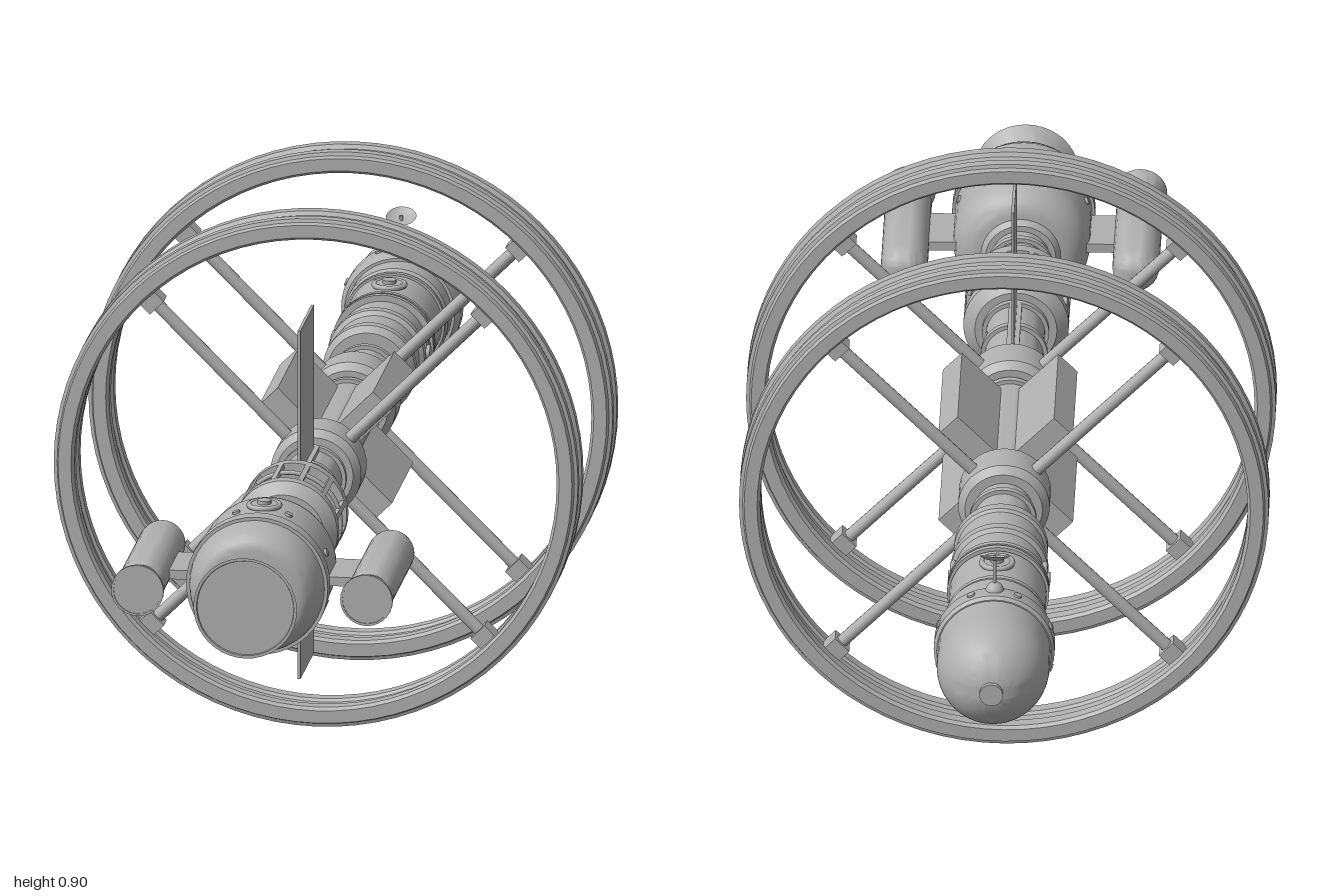
import * as THREE from 'three';
import { toCreasedNormals } from 'three/addons/utils/BufferGeometryUtils.js';

const AXIS_Y = 0.454;

export function createModel() {
  const root = new THREE.Group();
  root.name = 'spaceship';
  const ship = new THREE.Group();
  ship.name = 'hullAxis';
  ship.position.y = AXIS_Y;
  root.add(ship);

  const hull = new THREE.MeshStandardMaterial({ color: 0xb0b0b0, side: THREE.DoubleSide });
  hull.name = 'hull grey';

  function add(name, geometry, x = 0, y = 0, z = 0, parent = ship) {
    const mesh = new THREE.Mesh(geometry, hull);
    mesh.name = name;
    mesh.position.set(x, y, z);
    parent.add(mesh);
    return mesh;
  }
  // Turned part along z; profile is [radius, z] pairs with z rising
  function turned(name, profile, x = 0, y = 0, z = 0, segments = 40) {
    const pts = profile.map(([r, h]) => new THREE.Vector2(r, h));
    const geo = new THREE.LatheGeometry(pts, segments).rotateX(Math.PI / 2);
    return add(name, toCreasedNormals(geo, 0.5), x, y, z);
  }
  const collar = (name, r, z, w) =>
    turned(name, [[0, -w / 2], [r, -w / 2], [r, w / 2], [0, w / 2]], 0, 0, z);
  // Round part of an ellipse profile, from angle a to b
  const arc = (r0, z0, rr, rz, a, b, n = 8) => Array.from({ length: n + 1 }, (_, i) => {
    const t = a + (b - a) * i / n;
    return [r0 + rr * Math.cos(t), z0 + rz * Math.sin(t)];
  });
  const H = Math.PI / 2;

  // Central spine and its collars
  turned('spine', [[0, -0.44], [0.05, -0.44], [0.05, 0.72], [0, 0.72]]);
  for (const z of [-0.39, -0.325, -0.19, 0.095, 0.215, 0.305, 0.39, 0.575, 0.605, 0.635])
    collar('spineCollar', 0.057, z, 0.012);

  // Two spoked rings
  const ringProfile = [
    [0.415, -0.036], [0.42, -0.042], [0.442, -0.042], [0.445, -0.034], [0.451, -0.032],
    [0.451, -0.015], [0.444, -0.011], [0.444, 0.011], [0.451, 0.015], [0.451, 0.032],
    [0.445, 0.034], [0.442, 0.042], [0.42, 0.042], [0.415, 0.036], [0.415, 0.015],
    [0.42, 0.011], [0.42, -0.011], [0.415, -0.015], [0.415, -0.036],
  ];
  for (const z of [-0.246, 0.154]) {
    turned('ring', ringProfile, 0, 0, z, 80);
    turned('ringHub', [[0.05, -0.045], [0.066, -0.045], [0.078, -0.032], [0.078, 0.032],
      [0.066, 0.045], [0.05, 0.045]], 0, 0, z);
    for (let i = 0; i < 4; i++) {
      const spoke = new THREE.Group();
      spoke.name = 'spoke';
      spoke.position.z = z;
      spoke.rotation.z = Math.PI / 4 + i * H;
      ship.add(spoke);
      add('spokeRod', new THREE.CylinderGeometry(0.011, 0.011, 0.37, 12), 0, 0.235, 0, spoke);
      add('spokeFoot', new THREE.BoxGeometry(0.034, 0.03, 0.034), 0, 0.405, 0, spoke);
    }
  }

  // Four cargo pods set diagonally round the spine
  for (let i = 0; i < 4; i++) {
    const pod = new THREE.Group();
    pod.name = 'cargoPod';
    pod.rotation.z = Math.PI / 4 + i * H;
    ship.add(pod);
    add('podBox', new THREE.BoxGeometry(0.046, 0.105, 0.245), 0, 0.0865, -0.047, pod);
  }

  // Upright radiator panels
  for (const s of [1, -1]) {
    add('radiator', new THREE.BoxGeometry(0.005, 0.26, 0.158), 0, s * 0.179, 0.301);
    add('radiatorRoot', new THREE.BoxGeometry(0.022, 0.02, 0.17), 0, s * 0.047, 0.301);
  }

  // Open cage with solid end caps
  turned('cageRearCap', [[0.05, 0.395], [0.07, 0.395], [0.09, 0.412], [0.09, 0.432], [0.05, 0.432]]);
  turned('cageFrontCap', [[0.05, 0.518], [0.09, 0.518], [0.09, 0.538], [0.07, 0.556], [0.05, 0.556]]);
  turned('cageCore', [[0.06, 0.43], [0.06, 0.52]]);
  add('cageHoop', new THREE.TorusGeometry(0.086, 0.004, 8, 40), 0, 0, 0.475);
  for (let i = 0; i < 12; i++) {
    const a = (i + 0.5) * Math.PI / 6;
    const bar = add('cageBar', new THREE.BoxGeometry(0.008, 0.009, 0.09),
      0.086 * Math.cos(a), 0.086 * Math.sin(a), 0.475);
    bar.rotation.z = a;
  }

  // Engine body with its band and flared nozzle
  turned('engineBody', [[0, 0.67], [0.06, 0.67], [0.068, 0.68],
    ...arc(0.068, 0.735, 0.049, 0.055, -H, 0), [0.117, 0.85],
    ...arc(0.08, 0.85, 0.037, 0.073, 0, H), [0, 0.923]]);
  turned('engineBand', [[0.1, 0.837], [0.122, 0.837], [0.122, 0.865], [0.1, 0.865]]);
  turned('mainNozzle', [[0.03, 0.915], [0.034, 0.93], [0.044, 0.95], [0.06, 0.972],
    [0.089, 1], [0.084, 1], [0.083, 0.997], [0, 0.997]]);

  // Side boosters on pylons
  for (const s of [1, -1]) {
    turned('booster', [...arc(0, 0.64, 0.04, 0.04, -H, 0), [0.04, 0.87],
      [0.034, 0.882], [0, 0.882]], s * 0.197, 0, 0, 28);
    turned('boosterNozzle', [[0.028, 0.875], [0.032, 0.892], [0.045, 0.918], [0.045, 0.924],
      [0.041, 0.924], [0.041, 0.922], [0, 0.922]], s * 0.197, 0, 0, 28);
    add('boosterPylon', new THREE.BoxGeometry(0.09, 0.016, 0.11), s * 0.135, 0, 0.765);
  }

  // Crew section, widening in steps towards the nose
  turned('crewHull', [[0, -0.78], [0.09, -0.78], [0.09, -0.735], [0.083, -0.725],
    [0.083, -0.615], [0.076, -0.605], [0.076, -0.53], [0.083, -0.525], [0.083, -0.508],
    [0.075, -0.503], [0.075, -0.45], [0.08, -0.446], [0.08, -0.428], [0.07, -0.415], [0, -0.415]]);
  for (const z of [-0.72, -0.605, -0.59]) collar('crewBand', 0.087, z, 0.01);
  turned('noseCollar', [[0, -0.832], [0.098, -0.832], [0.103, -0.826], [0.103, -0.795],
    [0.095, -0.778], [0, -0.778]]);
  turned('noseDome', [...arc(0, -0.89, 0.096, 0.104, -H, 0, 14), [0.096, -0.83]]);
  collar('noseKnob', 0.02, -0.99, 0.02);

  // Round hatches: angle about the axis, radius, z
  function hatch(angle, radius, z) {
    const g = new THREE.Group();
    g.name = 'hatch';
    g.position.set(radius * Math.sin(angle), radius * Math.cos(angle), z);
    g.rotation.z = -angle;
    ship.add(g);
    add('hatchPlate', new THREE.CylinderGeometry(0.026, 0.026, 0.018, 20), 0, -0.004, 0, g);
    add('hatchRim', new THREE.TorusGeometry(0.026, 0.005, 8, 24).rotateX(H), 0, 0.002, 0, g);
    add('hatchBoss', new THREE.CylinderGeometry(0.012, 0.012, 0.012, 14), 0, 0.005, 0, g);
  }
  for (const a of [0, Math.PI]) {
    hatch(a, 0.117, 0.78);
    hatch(a, 0.082, -0.66);
  }
  for (const a of [H, -H]) hatch(a, 0.076, -0.552);

  // Small portholes round the engine and nose collar
  function portholes(count, radius, z) {
    for (let i = 0; i < count; i++) {
      const a = (i + 0.5) * 2 * Math.PI / count;
      const p = add('porthole', new THREE.CylinderGeometry(0.007, 0.007, 0.008, 10),
        radius * Math.sin(a), radius * Math.cos(a), z);
      p.rotation.z = -a;
    }
  }
  portholes(8, 0.117, 0.8);
  portholes(8, 0.102, -0.81);

  // Dish antenna over the nose collar
  add('antennaBase', new THREE.SphereGeometry(0.016, 14, 10), 0, 0.1, -0.8);
  add('antennaMast', new THREE.CylinderGeometry(0.003, 0.003, 0.07, 8), 0, 0.13, -0.8);
  const dishPts = [[0, 0], [0.012, 0.001], [0.02, 0.004], [0.026, 0.008]]
    .map(([r, y]) => new THREE.Vector2(r, y));
  const dish = add('antennaDish', new THREE.LatheGeometry(dishPts, 24), 0, 0.157, -0.8);
  dish.rotation.x = 0.4;
  return root;
}
